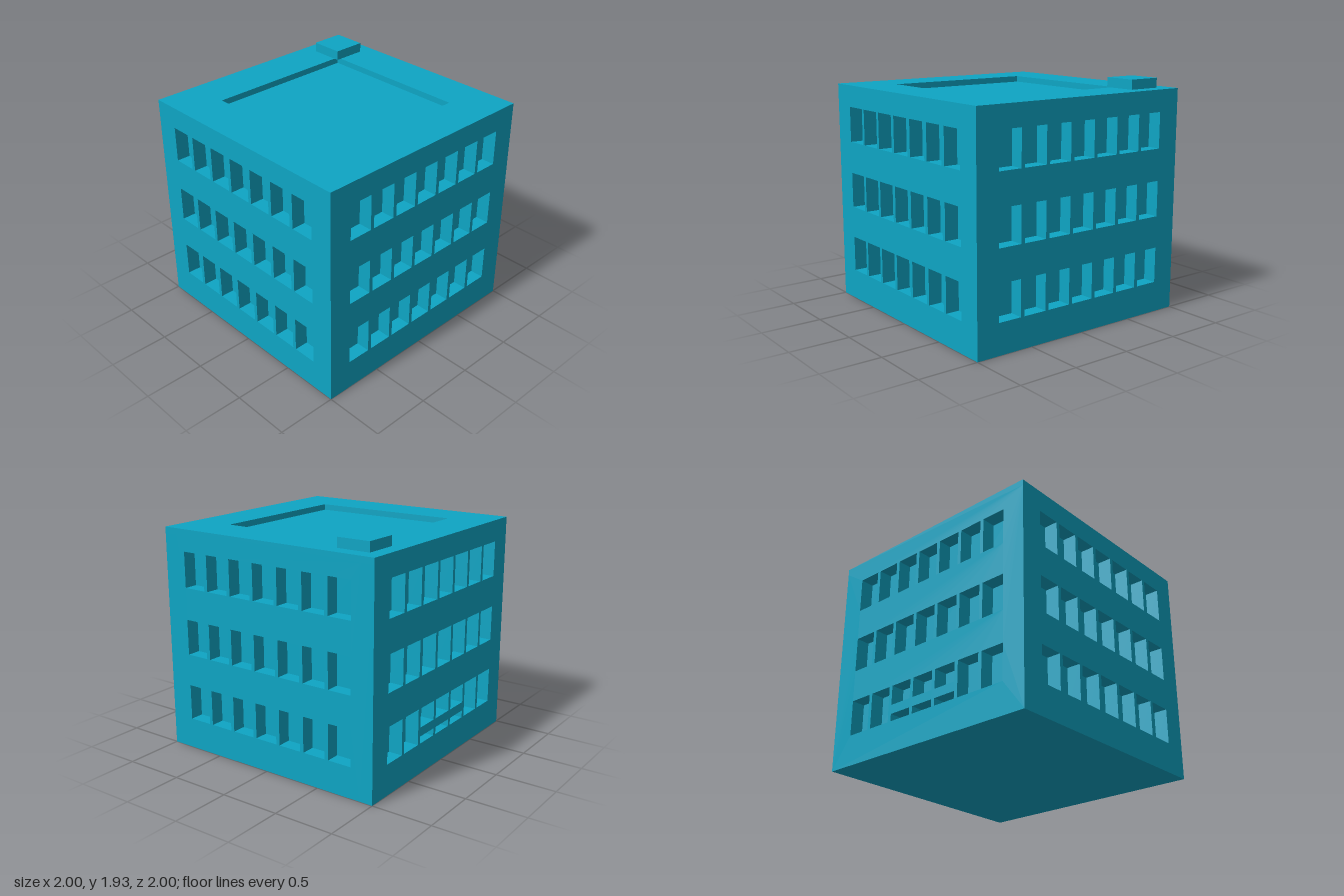
import * as THREE from 'three';

const H = 1.85;          // roof height
const FLOOR = 1.8;       // sunken roof deck height
const D = 0.115;         // wall thickness = window depth
const WIN_W = 0.203, WIN_H = 0.295, STEP_X = 0.2345, STEP_Y = 0.56, SILL = 0.255;

// Adds a rectangular outline to a Shape or Path
function rect(path, x0, y0, x1, y1) {
  path.moveTo(x0, y0);
  path.lineTo(x1, y0);
  path.lineTo(x1, y1);
  path.lineTo(x0, y1);
  path.closePath();
  return path;
}

export function createModel() {
  const group = new THREE.Group();
  const material = new THREE.MeshStandardMaterial({ color: 0x0ea5c4, flatShading: true });

  function add(name, geometry, x = 0, y = 0, z = 0, parent = group) {
    const mesh = new THREE.Mesh(geometry, material);
    mesh.name = name;
    mesh.position.set(x, y, z);
    parent.add(mesh);
    return mesh;
  }

  // Facade: a wall with three rows of seven window openings
  function wallGeometry(width) {
    const shape = rect(new THREE.Shape(), -width / 2, 0, width / 2, FLOOR);
    for (let row = 0; row < 3; row++) {
      for (let col = -3; col <= 3; col++) {
        const x = col * STEP_X, y = SILL + row * STEP_Y;
        shape.holes.push(rect(new THREE.Path(), x - WIN_W / 2, y, x + WIN_W / 2, y + WIN_H));
      }
    }
    return new THREE.ExtrudeGeometry(shape, { depth: D, bevelEnabled: false });
  }

  // Four walls; the side walls fit between the front and back ones
  ['frontWall', 'leftWall', 'backWall', 'rightWall'].forEach((name, i) => {
    const side = new THREE.Group();
    side.name = name;
    side.rotation.y = i * Math.PI / 2;
    add(name + 'Facade', wallGeometry(i % 2 ? 2 - 2 * D : 2), 0, 0, 1 - D, side);
    // Crossbars in the middle three ground-floor windows of the back
    if (name === 'backWall') {
      for (let col = -1; col <= 1; col++) {
        add('windowCrossbar', new THREE.BoxGeometry(WIN_W, 0.075, D), col * STEP_X, 0.3525, 1 - D / 2, side);
      }
    }
    group.add(side);
  });

  // Inner block: the window backs and the sunken roof deck
  add('innerBlock', new THREE.BoxGeometry(2 - 2 * D, FLOOR, 2 - 2 * D), 0, FLOOR / 2, 0);

  // Roof rim around the sunken deck
  const rim = rect(new THREE.Shape(), -1, -1, 1, 1);
  rim.holes.push(rect(new THREE.Path(), -0.64, -0.64, 0.64, 0.64));
  const rimGeometry = new THREE.ExtrudeGeometry(rim, { depth: H - FLOOR, bevelEnabled: false });
  rimGeometry.rotateX(-Math.PI / 2);
  add('roofRim', rimGeometry, 0, FLOOR, 0);

  // Small rooftop unit in the back corner
  add('roofUnit', new THREE.BoxGeometry(0.28, 0.08, 0.28), 0.74, H + 0.04, -0.74);

  return group;
}
